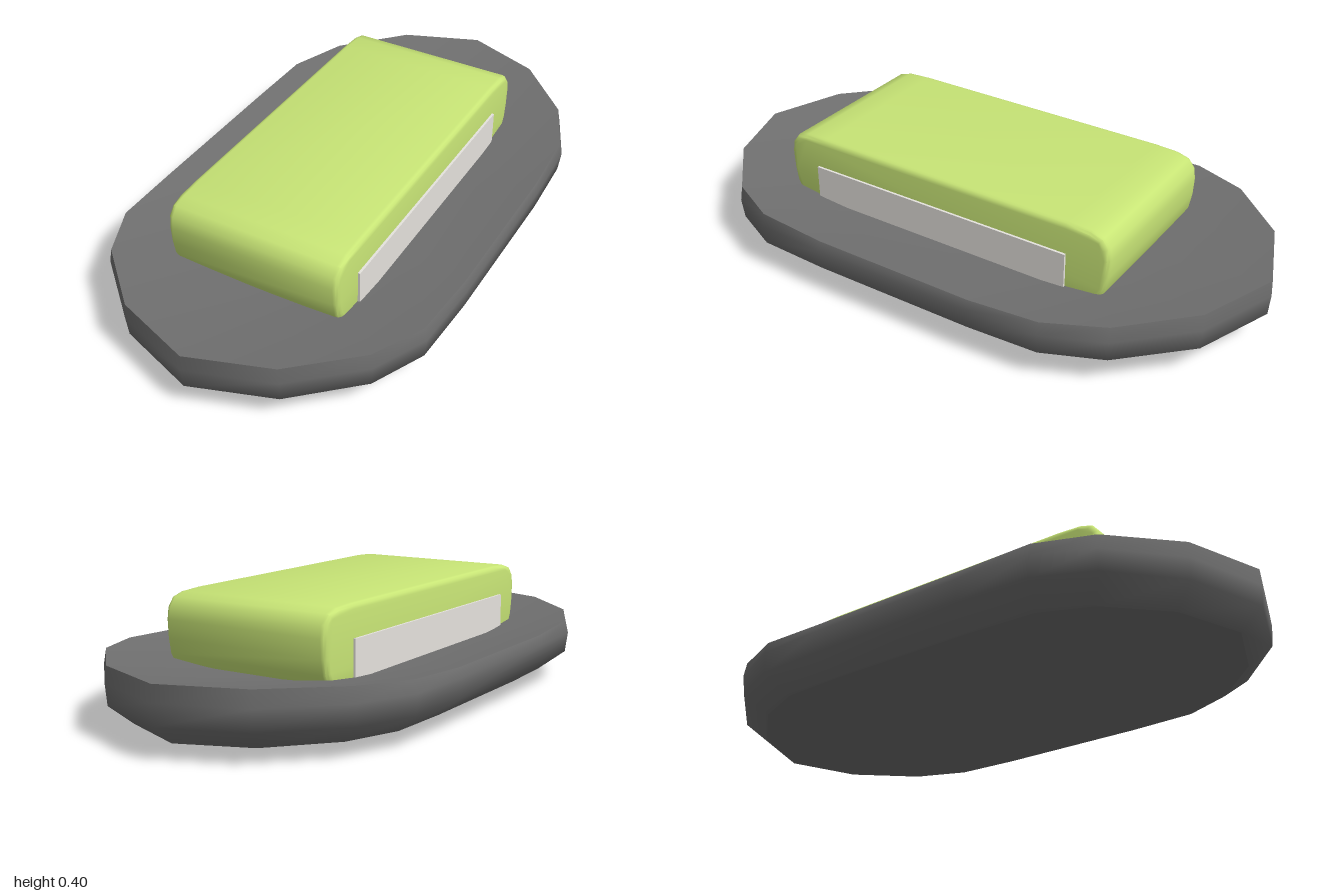
import * as THREE from 'three';
import { mergeGeometries, toCreasedNormals } from 'three/addons/utils/BufferGeometryUtils.js';

// Half outline of the base (x, z) from back tip to front tip
const HALF = [[0, -1], [0.27, -0.9], [0.47, -0.7], [0.553, -0.51], [0.565, -0.27],
  [0.565, 0.3], [0.553, 0.55], [0.47, 0.725], [0.27, 0.905], [0, 0.997]];
const OUTLINE = [...HALF, ...HALF.slice(1, -1).reverse().map(([x, z]) => [-x, z])];

// Rim height rises from the sides towards both tips
const rimHeight = (z) => 0.195 + 0.029 * Math.sin(z * Math.PI / 2) ** 2;

// Smooth band through rings of [x scale, z scale, height function]; a ring scaled to 0 is a centre
function band(rings) {
  const n = OUTLINE.length;
  const positions = [];
  const index = [];
  for (const [sx, sz, height] of rings) {
    for (const [x, z] of OUTLINE) positions.push(x * sx, height(z), z * sz);
  }
  for (let j = 0; j < rings.length - 1; j++) {
    for (let i = 0; i < n; i++) {
      const a = j * n + i;
      const b = j * n + (i + 1) % n;
      if (rings[j][0] > 0) index.push(a, a + n, b);
      if (rings[j + 1][0] > 0) index.push(b, a + n, b + n);
    }
  }
  const geo = new THREE.BufferGeometry();
  geo.setAttribute('position', new THREE.Float32BufferAttribute(positions, 3));
  geo.setIndex(index);
  geo.computeVertexNormals();
  return geo;
}

// Base: nearly flat underside, rounded wall and dished top, with sharp edges between them
function baseGeometry() {
  const floor = 0.168;
  const lowerEdge = [0.84, 0.92, () => 0.038];
  const rim = [0.98, 0.997, rimHeight];
  return mergeGeometries([
    band([[0, 0, () => 0], [0.5, 0.73, () => 0.006], lowerEdge]),
    band([lowerEdge, [0.985, 0.995, () => 0.102], [1, 1, () => 0.17], rim]),
    band([rim, [0.6, 0.62, () => floor], [0, 0, () => floor]]),
  ]);
}

// Cover: side profile with rounded ends, extruded across x with softened side edges
function coverGeometry() {
  const bevel = 0.018;
  const width = 0.6;
  const end = [[0.595, 0.155], [0.619, 0.2], [0.628, 0.25], [0.631, 0.31], [0.625, 0.35],
    [0.602, 0.379], [0.56, 0.391], [0.48, 0.395]];
  const shift = 0.03; // the back end sits closer to the middle
  const points = [...end, ...end.map(([z, y]) => [shift - z, y]).reverse()];
  const shape = new THREE.Shape(points.map(([z, y]) => new THREE.Vector2(z, y)));
  const geo = new THREE.ExtrudeGeometry(shape, {
    depth: width - 2 * bevel, bevelThickness: bevel, bevelSize: bevel, bevelOffset: -bevel, bevelSegments: 3,
  });
  geo.translate(0, 0, -width / 2 + bevel);
  geo.rotateY(-Math.PI / 2); // profile x becomes z
  return toCreasedNormals(geo, 0.7);
}

export function createModel() {
  const darkGrey = new THREE.MeshStandardMaterial({ color: 0x707070 });
  darkGrey.name = 'dark grey';
  const green = new THREE.MeshStandardMaterial({ color: 0xc8e576 });
  green.name = 'lime green';
  const lightGrey = new THREE.MeshStandardMaterial({ color: 0xe6e3de });
  lightGrey.name = 'light grey';

  const model = new THREE.Group();
  const add = (name, geo, material) => {
    const mesh = new THREE.Mesh(geo, material);
    mesh.name = name;
    model.add(mesh);
    return mesh;
  };

  add('base', baseGeometry(), darkGrey);
  add('cover', coverGeometry(), green);

  // Pale core showing just proud of the cover on both sides
  add('core', new THREE.BoxGeometry(0.616, 0.14, 0.965), lightGrey).position.set(0, 0.22, 0.028);
  return model;
}
